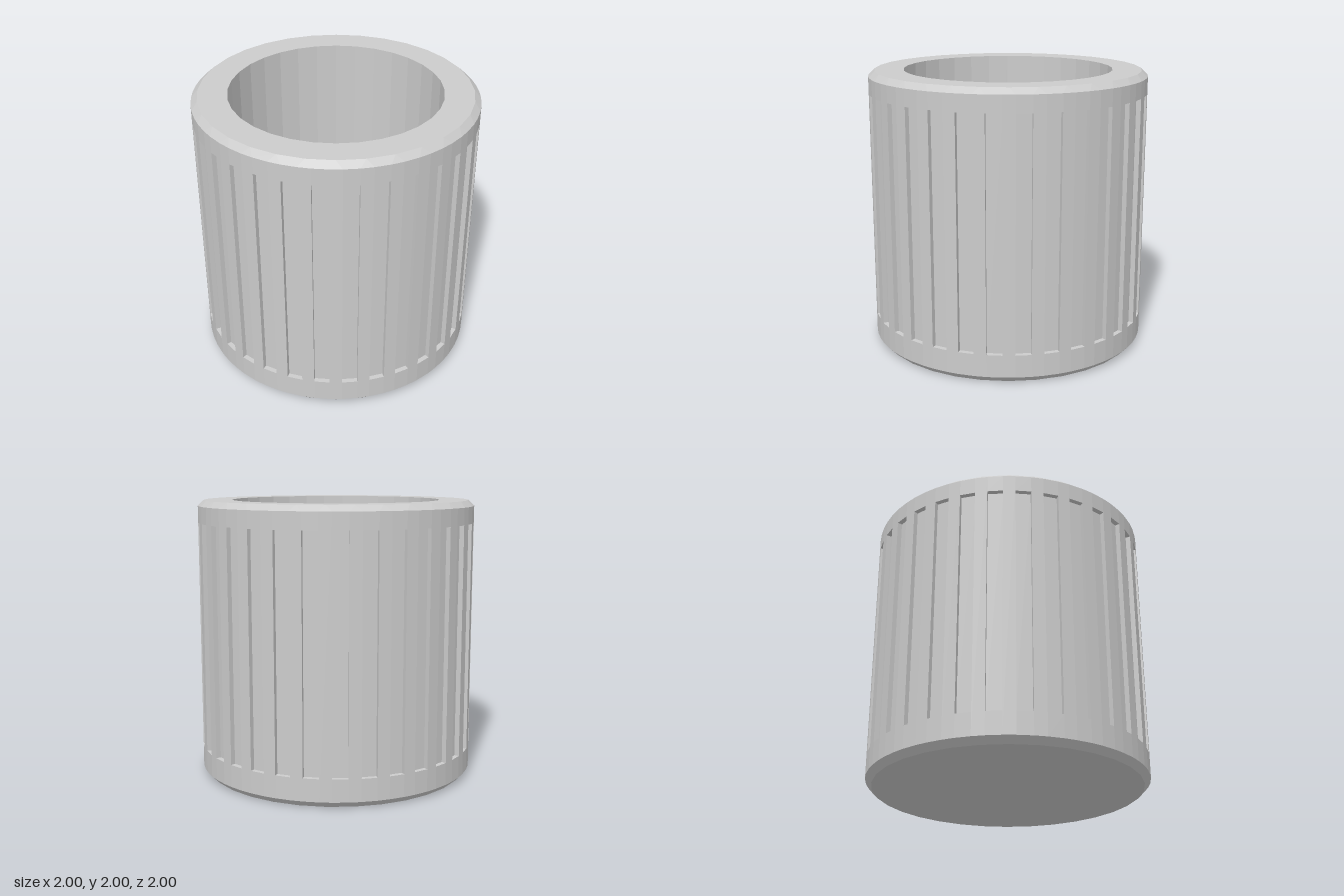
import * as THREE from 'three';

const N = 32, STEP = (Math.PI * 2) / N;
const R = 1, R_END = 0.957, R_HOLE = 0.75;
const HALF_RIB = THREE.MathUtils.degToRad(2.5);
const Y = { base: 0, chamferLow: 0.045, slotLow: 0.205, slotHigh: 1.84, chamferHigh: 1.96, top: 2 };
const HOLE_FLOOR = 0.2, SLOT_DEPTH = 0.035;

// Point on a ring: angle 0 faces the front, growing toward +x
const ring = (a, r, y) => new THREE.Vector3(r * Math.sin(a), y, r * Math.cos(a));

// Collects flat faces, corners counter-clockwise seen from outside
function faceted(name, material, fill) {
  const pts = [];
  const tri = (a, b, c) => pts.push(a, b, c);
  const quad = (a, b, c, d) => { tri(a, b, c); tri(a, c, d); };
  for (let k = 0; k < N; k++) fill(k * STEP, tri, quad);
  const geo = new THREE.BufferGeometry().setFromPoints(pts);
  geo.computeVertexNormals();
  const mesh = new THREE.Mesh(geo, material);
  mesh.name = name;
  return mesh;
}

export function createModel() {
  const group = new THREE.Group();
  group.name = 'ribbedCup';
  const mat = new THREE.MeshStandardMaterial({ color: 0xcccccc, flatShading: true });

  // Smooth bands above and below the slots, with the ribs joining them
  group.add(faceted('bandsAndRibs', mat, (a, tri, quad) => {
    const strip = (a0, a1, y0, y1) =>
      quad(ring(a0, R, y0), ring(a1, R, y0), ring(a1, R, y1), ring(a0, R, y1));
    const l = a - HALF_RIB, r = a + HALF_RIB, next = a + STEP - HALF_RIB;
    strip(l, r, Y.chamferLow, Y.chamferHigh);
    strip(r, next, Y.chamferLow, Y.slotLow);
    strip(r, next, Y.slotHigh, Y.chamferHigh);
  }));

  // Chamfers: fine outer edge meeting the coarser end rings
  group.add(faceted('chamfers', mat, (a, tri, quad) => {
    const b = a + STEP, l = a - HALF_RIB, r = a + HALF_RIB, next = b - HALF_RIB;
    const hi = Y.chamferHigh, lo = Y.chamferLow;
    tri(ring(l, R, hi), ring(r, R, hi), ring(a, R_END, Y.top));
    quad(ring(r, R, hi), ring(next, R, hi), ring(b, R_END, Y.top), ring(a, R_END, Y.top));
    tri(ring(a, R_END, Y.base), ring(r, R, lo), ring(l, R, lo));
    quad(ring(a, R_END, Y.base), ring(b, R_END, Y.base), ring(next, R, lo), ring(r, R, lo));
  }));

  // Recessed grip slots between the ribs
  group.add(faceted('gripSlots', mat, (a, tri, quad) => {
    const mid = a + STEP / 2, half = STEP / 2 - HALF_RIB;
    const inset = new THREE.Vector3(-Math.sin(mid), 0, -Math.cos(mid)).multiplyScalar(SLOT_DEPTH);
    const o = [[-1, Y.slotLow], [1, Y.slotLow], [1, Y.slotHigh], [-1, Y.slotHigh]]
      .map(([s, y]) => ring(mid + s * half, R, y));
    const i = o.map((p) => p.clone().add(inset));
    quad(...i);
    for (let e = 0; e < 4; e++) {
      const f = (e + 1) % 4;
      quad(o[e], o[f], i[f], i[e]);
    }
  }));

  // Top rim, inside wall, floor of the hole and underside
  group.add(faceted('rimHoleAndBase', mat, (a, tri, quad) => {
    const b = a + STEP;
    quad(ring(a, R_END, Y.top), ring(b, R_END, Y.top), ring(b, R_HOLE, Y.top), ring(a, R_HOLE, Y.top));
    quad(ring(b, R_HOLE, HOLE_FLOOR), ring(a, R_HOLE, HOLE_FLOOR), ring(a, R_HOLE, Y.top), ring(b, R_HOLE, Y.top));
    tri(ring(a, R_HOLE, HOLE_FLOOR), ring(b, R_HOLE, HOLE_FLOOR), ring(0, 0, HOLE_FLOOR));
    tri(ring(b, R_END, Y.base), ring(a, R_END, Y.base), ring(0, 0, Y.base));
  }));

  return group;
}
